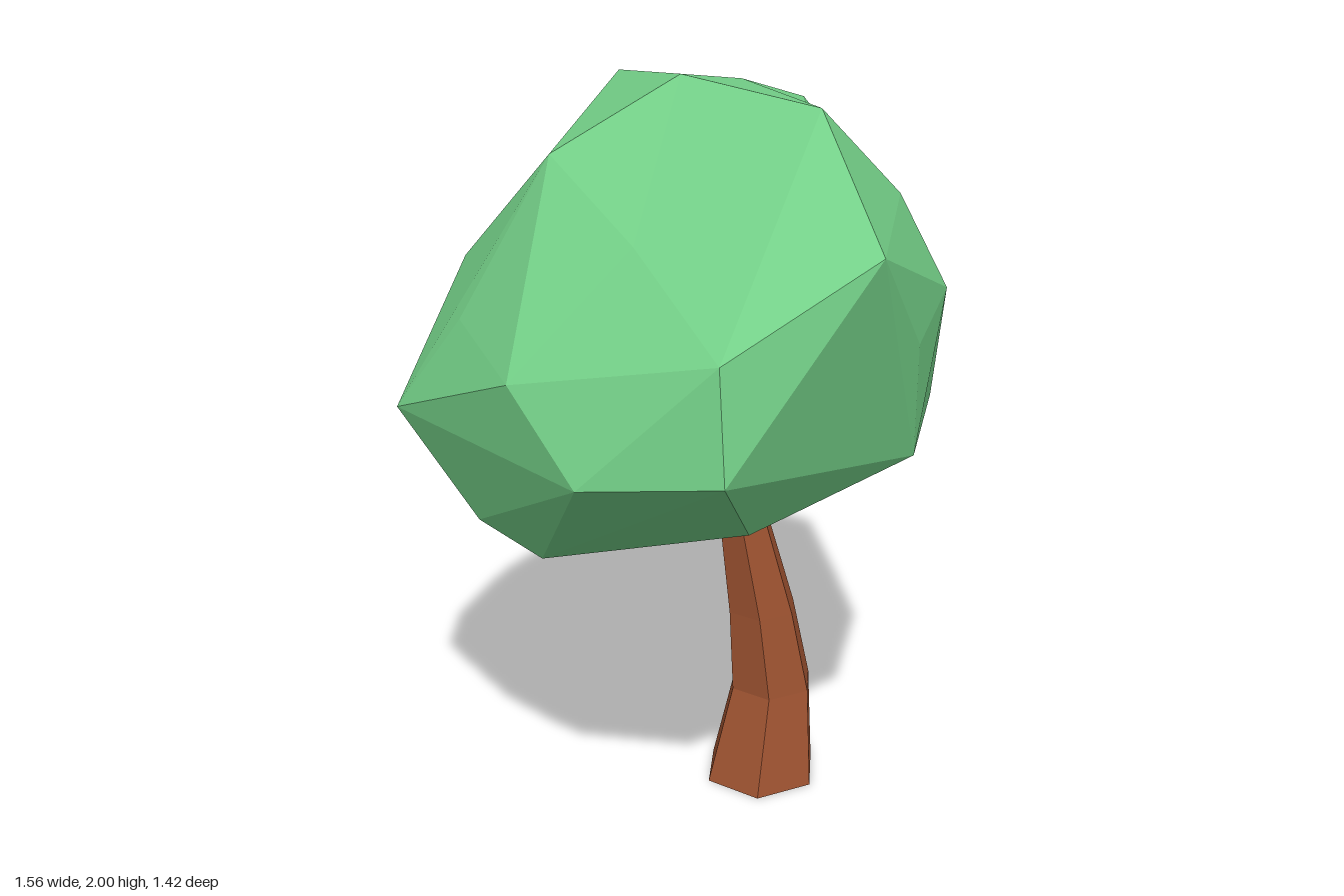
import * as THREE from 'three';
import { ConvexGeometry } from 'three/addons/geometries/ConvexGeometry.js';

const bark = new THREE.MeshStandardMaterial({ color: 0xa05432, flatShading: true });
const leaves = new THREE.MeshStandardMaterial({ color: 0x74d088, flatShading: true, side: THREE.DoubleSide });

function addPart(group, name, geometry, material) {
  const mesh = new THREE.Mesh(geometry, material);
  mesh.name = name;
  group.add(mesh);
}

// Six-sided trunk: each ring is [x, y, z, radius]
function trunkGeometry(rings) {
  const n = rings.length - 1;
  const geo = new THREE.CylinderGeometry(1, 1, n, 6, n).rotateY(Math.PI / 2 - 0.14);
  const p = geo.attributes.position;
  for (let i = 0; i < p.count; i++) {
    const [x, y, z, r] = rings[Math.round(p.getY(i) + n / 2)];
    p.setXYZ(i, x + p.getX(i) * r, y, z + p.getZ(i) * r);
  }
  geo.computeVertexNormals();
  return geo;
}

// Curved branch that tapers towards its tip
function branchGeometry(points, r0, r1) {
  const curve = new THREE.CatmullRomCurve3(points.map((q) => new THREE.Vector3(...q)));
  const steps = 5, sides = 6;
  const geo = new THREE.TubeGeometry(curve, steps, 1, sides);
  const p = geo.attributes.position;
  const v = new THREE.Vector3();
  for (let i = 0; i < p.count; i++) {
    const t = Math.floor(i / (sides + 1)) / steps;
    const c = curve.getPointAt(t);
    v.fromBufferAttribute(p, i).sub(c).multiplyScalar(r0 + (r1 - r0) * t).add(c);
    p.setXYZ(i, v.x, v.y, v.z);
  }
  geo.computeVertexNormals();
  return geo;
}

// Faceted crown: a hull of [x, y, z, dent] points. Its underside, except the back lip,
// is replaced by a shallow hollow, and dented points are pulled towards the centre.
function crownGeometry(points, centre, hollow) {
  const p = new ConvexGeometry(points.map((q) => new THREE.Vector3(...q))).attributes.position;
  const out = [];
  const edges = new Map();
  const key = (...vs) => vs.map((v) => v.toArray().map((n) => n.toFixed(3)).join()).join();
  const normal = new THREE.Vector3();
  for (let i = 0; i < p.count; i += 3) {
    const t = [0, 1, 2].map((k) => new THREE.Vector3().fromBufferAttribute(p, i + k));
    new THREE.Triangle(...t).getNormal(normal);
    if (normal.y < -0.8 && t.every((q) => q.z > -0.5)) {
      t.forEach((a, k) => edges.set(key(a, t[(k + 1) % 3]), [a, t[(k + 1) % 3]]));
    } else out.push(...t);
  }
  // The rim edges are those with no opposite twin; a middle ring leads up to the hollow
  for (const [a, b] of edges.values()) {
    if (edges.has(key(b, a))) continue;
    const [c, d] = [a, b].map((q) => q.clone().lerp(hollow, 0.6).setY(q.y * 0.3 + hollow.y * 0.7));
    out.push(a, b, d, a, d, c, c, d, hollow);
  }
  const dents = new Map(points.map(([x, y, z, dent = 0]) => [key(new THREE.Vector3(x, y, z)), dent]));
  const dented = out.map((q) => q.clone().addScaledVector(
    centre.clone().sub(q).normalize(), dents.get(key(q)) ?? 0));
  const geo = new THREE.BufferGeometry().setFromPoints(dented);
  geo.computeVertexNormals();
  return geo;
}

export function createModel() {
  const tree = new THREE.Group();
  tree.name = 'tree';

  addPart(tree, 'trunk', trunkGeometry([
    [0.11, 0, 0.01, 0.167], [0.143, 0.28, 0.012, 0.122], [0.113, 0.52, 0.005, 0.1],
    [0.035, 0.92, -0.012, 0.06], [0.0, 1.12, -0.025, 0.045],
  ]), bark);

  addPart(tree, 'leftBranch', branchGeometry(
    [[0.03, 0.91, -0.01], [0.13, 0.95, -0.05], [0.2, 1.01, -0.08], [0.24, 1.1, -0.11]], 0.042, 0.026), bark);
  addPart(tree, 'backBranch', branchGeometry(
    [[0.03, 0.93, -0.02], [-0.06, 0.935, -0.11], [-0.12, 0.965, -0.19], [-0.16, 1.02, -0.23]], 0.036, 0.018), bark);
  addPart(tree, 'frontBranch', branchGeometry(
    [[0.02, 0.93, 0], [0.02, 0.96, 0.07], [0.02, 1.0, 0.13], [0.02, 1.08, 0.19]], 0.034, 0.02), bark);

  addPart(tree, 'crown', crownGeometry([
    // top
    [-0.16, 2, 0.04], [-0.02, 1.95, 0.41], [0.16, 1.95, -0.17], [0, 1.95, -0.53], [0.51, 1.86, -0.37],
    // shoulders
    [0.33, 1.81, -0.69], [-0.07, 1.69, -0.66], [-0.45, 1.82, -0.09], [-0.45, 1.67, 0.28, 0.02],
    [-0.07, 1.67, 0.71], [0.27, 1.72, 0.35],
    // shallow valleys in the left front and the back
    [0.247, 1.907, 0.103, 0.08], [0.223, 1.584, -0.703, 0.08],
    // widest part
    [0.78, 1.46, -0.32], [0.72, 1.31, -0.565], [0.63, 1.53, -0.05], [0.39, 1.48, 0.4], [0.16, 1.41, 0.57],
    [-0.46, 1.48, 0.655], [-0.73, 1.37, 0.2], [-0.67, 1.43, -0.17], [-0.47, 1.49, -0.56], [0.02, 1.24, -0.71],
    // lower edge
    [-0.47, 1.22, 0.69], [-0.69, 1.18, 0.43], [-0.78, 1.18, -0.34], [-0.64, 1.16, -0.56],
    [-0.16, 1.08, -0.68], [0.33, 1.11, -0.6],
    // rim of the hollow
    [0.66, 1.18, -0.06], [0.66, 1.12, -0.2], [0.53, 1.12, 0.2], [0.2, 1.11, 0.52], [-0.31, 1.03, 0.55],
    [-0.61, 0.88, 0.1], [-0.68, 0.93, -0.1], [-0.4, 0.915, -0.2], [-0.29, 0.96, -0.43],
    [0.27, 1.045, -0.28], [0.52, 1.06, -0.25],
  ], new THREE.Vector3(0, 1.35, 0), new THREE.Vector3(0.05, 1.14, -0.03)), leaves);

  return tree;
}
